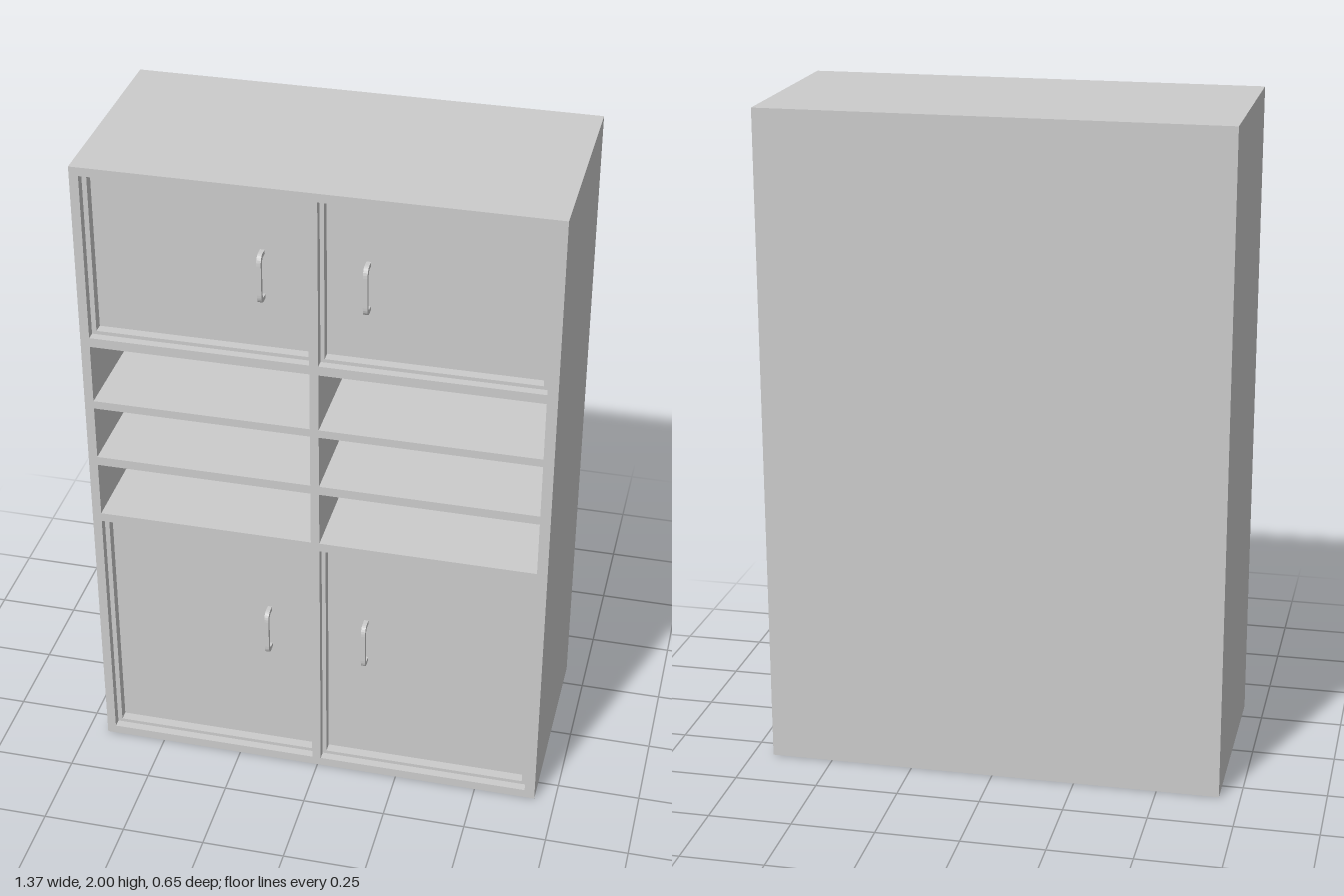
import * as THREE from 'three';

const material = new THREE.MeshStandardMaterial({ color: 0xcccccc });

// Box given by its limits on each axis
function box(parent, name, x0, x1, y0, y1, z0, z1) {
  const mesh = new THREE.Mesh(new THREE.BoxGeometry(x1 - x0, y1 - y0, z1 - z0), material);
  mesh.position.set((x0 + x1) / 2, (y0 + y1) / 2, (z0 + z1) / 2);
  mesh.name = name;
  parent.add(mesh);
}

function rectangle(path, x0, x1, y0, y1) {
  return path.moveTo(x0, y0).lineTo(x1, y0).lineTo(x1, y1).lineTo(x0, y1).closePath();
}

const W = 0.687, D = 0.326, H = 2;
const BACK = -0.296;          // inner face of the back panel
const FRAME_Z = 0.3, DOOR_Z = 0.27, DOOR_BACK = 0.24;

// Arched pull handle: a bent strip with rounded shoulders, in the z-y plane
function handle(x, y) {
  const h = 0.076, out = 0.044, t = 0.013, w = 0.013;
  const s = new THREE.Shape();
  s.moveTo(0, -h);
  s.lineTo(out * 0.45, -h);
  s.quadraticCurveTo(out, -h, out, -h + 0.03);
  s.lineTo(out, h - 0.03);
  s.quadraticCurveTo(out, h, out * 0.45, h);
  s.lineTo(0, h);
  s.lineTo(0, h - t);
  s.lineTo(out * 0.4, h - t);
  s.quadraticCurveTo(out - t, h - t, out - t, h - 0.035);
  s.lineTo(out - t, -h + 0.035);
  s.quadraticCurveTo(out - t, -h + t, out * 0.4, -h + t);
  s.lineTo(0, -h + t);
  s.closePath();
  const geometry = new THREE.ExtrudeGeometry(s, { depth: w, bevelEnabled: false, curveSegments: 6 });
  geometry.translate(0, 0, -w / 2).rotateY(-Math.PI / 2);
  const mesh = new THREE.Mesh(geometry, material);
  mesh.position.set(x, y, DOOR_Z);
  mesh.name = 'handle';
  return mesh;
}

// Recessed door with a narrow surrounding frame and a handle
function door(name, x0, x1, y0, y1, inset, handleX, handleY) {
  const group = new THREE.Group();
  group.name = name;
  const [left, right] = inset;
  const shape = rectangle(new THREE.Shape(), x0, x1, y0, y1);
  shape.holes.push(rectangle(new THREE.Path(), x0 + left, x1 - right, y0 + 0.011, y1 - 0.011));
  const geometry = new THREE.ExtrudeGeometry(shape, { depth: FRAME_Z - DOOR_BACK, bevelEnabled: false });
  geometry.translate(0, 0, DOOR_BACK);
  const frame = new THREE.Mesh(geometry, material);
  frame.name = 'doorFrame';
  group.add(frame);
  box(group, 'doorPanel', x0 + left, x1 - right, y0 + 0.011, y1 - 0.011, DOOR_BACK, DOOR_Z);
  group.add(handle(handleX, handleY));
  return group;
}

export function createModel() {
  const cabinet = new THREE.Group();
  cabinet.name = 'cabinet';

  // Carcass
  box(cabinet, 'backPanel', -W, W, 0, H, -D, BACK);
  box(cabinet, 'rightSide', -W, -0.66, 0, H, BACK, D);
  box(cabinet, 'leftSide', 0.656, W, 0, H, BACK, D);

  // Bottom, shelves and top
  const boards = [[0, 0.028], [0.825, 0.853], [1.027, 1.055], [1.224, 1.249], [1.432, 1.461], [1.974, H]];
  const names = ['bottomBoard', 'lowerShelf', 'nicheShelf', 'nicheShelf', 'upperShelf', 'topBoard'];
  boards.forEach(([y0, y1], i) => box(cabinet, names[i], -0.66, 0.656, y0, y1, BACK, D));

  // Centre divider in each row
  for (let i = 0; i < boards.length - 1; i++) {
    box(cabinet, 'divider', -0.015, 0.011, boards[i][1], boards[i + 1][0], BACK, D);
  }

  // Two doors below the open niches and two above
  for (const [level, y0, y1, handleY] of [['lower', 0.028, 0.825, 0.475], ['upper', 1.461, 1.974, 1.705]]) {
    cabinet.add(door(level + 'RightDoor', -0.66, -0.015, y0, y1, [0.014, 0.008], -0.159, handleY));
    cabinet.add(door(level + 'LeftDoor', 0.011, 0.656, y0, y1, [0.012, 0.014], 0.141, handleY));
  }
  return cabinet;
}
